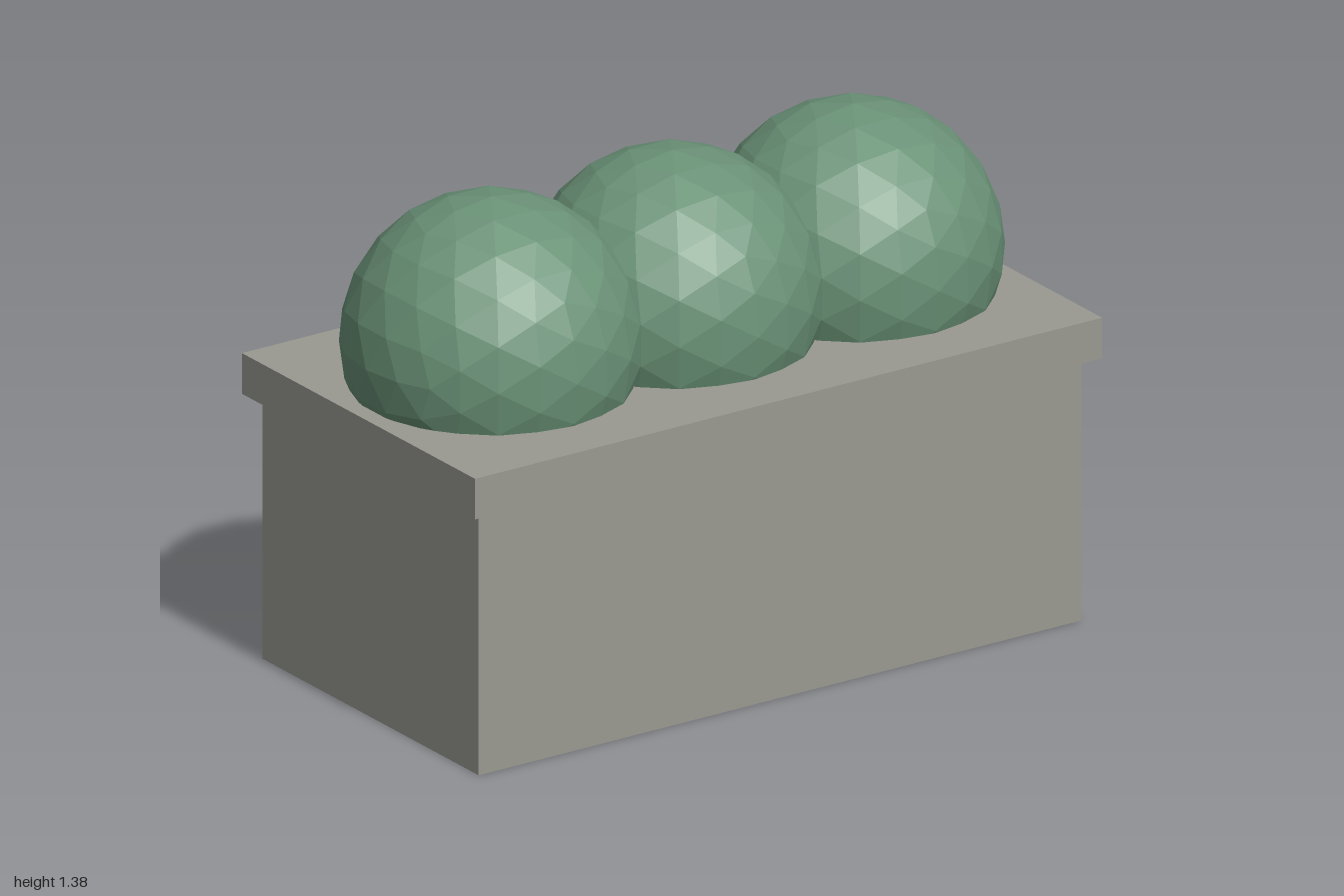
import * as THREE from 'three';

export function createModel() {
  const group = new THREE.Group();
  const stone = new THREE.MeshStandardMaterial({ color: 0x9a9a92 });
  stone.name = 'stone grey';
  const leaf = new THREE.MeshStandardMaterial({ color: 0x6a9277, flatShading: true });
  leaf.name = 'leaf green';

  const add = (name, geometry, material, x, y) => {
    const mesh = new THREE.Mesh(geometry, material);
    mesh.name = name;
    mesh.position.set(x, y, 0);
    group.add(mesh);
  };

  // Stone trough with an overhanging rim slab
  add('planterBox', new THREE.BoxGeometry(1.923, 0.745, 1), stone, 0, 0.3725);
  add('planterRim', new THREE.BoxGeometry(2, 0.115, 1.077), stone, 0, 0.8025);

  // Three faceted round shrubs in a row
  const shrub = new THREE.IcosahedronGeometry(0.4, 3);
  ['shrubRight', 'shrubMiddle', 'shrubLeft'].forEach((name, i) => {
    add(name, shrub, leaf, (i - 1) * 0.577, 0.985);
  });

  return group;
}
